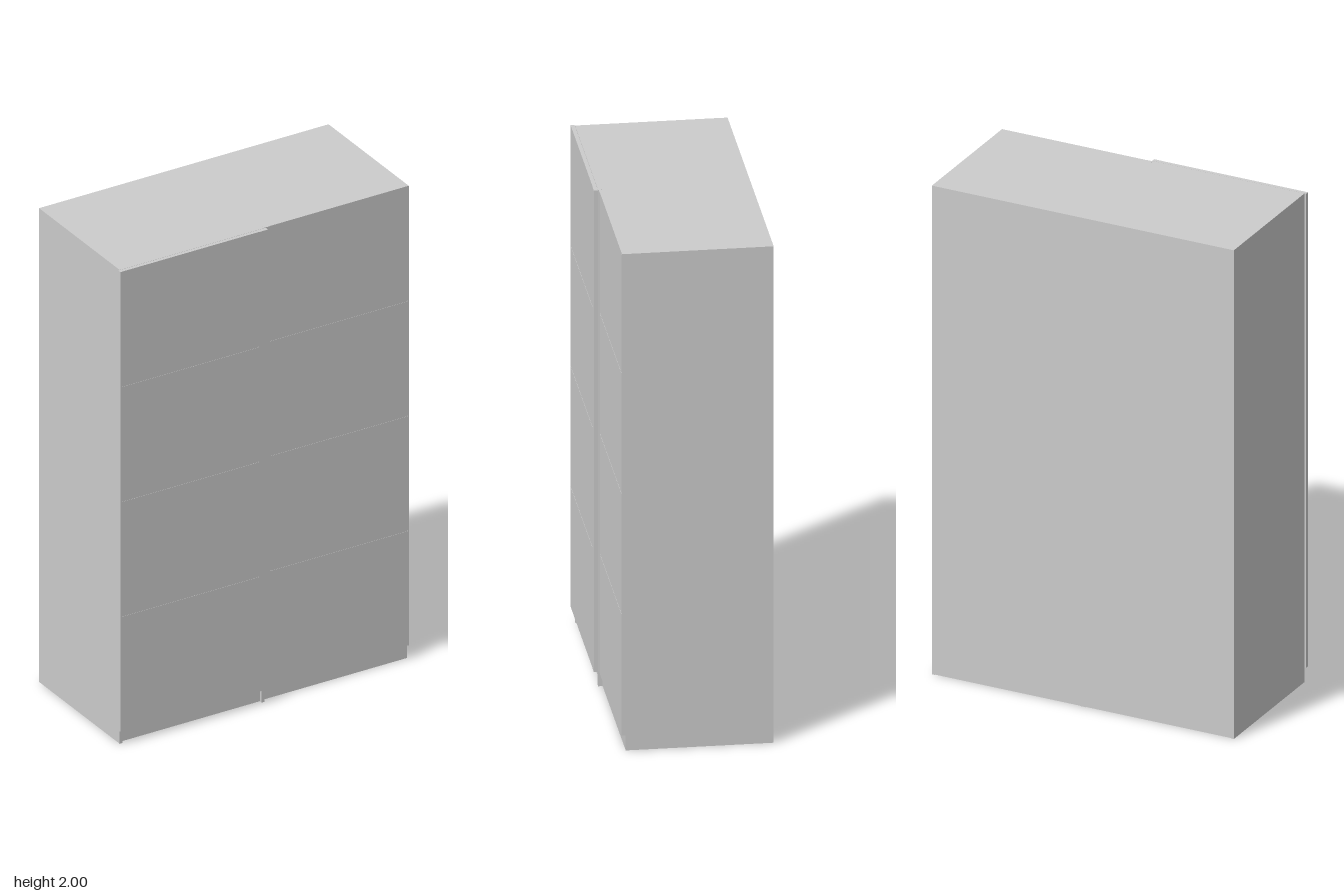
import * as THREE from 'three';

const material = new THREE.MeshStandardMaterial({ color: 0xcccccc });
const BACK = -0.295, TOP = 2, BASE = 0.06, BOARD = 0.0125;

// Box given by its limits on each axis
function board(parent, name, x0, x1, y0, y1, z0, z1) {
  const mesh = new THREE.Mesh(new THREE.BoxGeometry(x1 - x0, y1 - y0, z1 - z0), material);
  mesh.position.set((x0 + x1) / 2, (y0 + y1) / 2, (z0 + z1) / 2);
  mesh.name = name;
  parent.add(mesh);
}

// Cabinet body: sides down to the floor, raised bottom, recessed plinth, inset back
function makeCabinet(name, x0, x1, front, plinthFront) {
  const g = new THREE.Group();
  g.name = name;
  const a = x0 + BOARD, b = x1 - BOARD;
  board(g, 'sidePanelRight', x0, a, 0, TOP, BACK, front);
  board(g, 'sidePanelLeft', b, x1, 0, TOP, BACK, front);
  board(g, 'topPanel', a, b, TOP - BOARD, TOP, BACK, front);
  board(g, 'bottomPanel', a, b, BASE, BASE + BOARD, BACK + 0.008, front);
  board(g, 'backPanel', a, b, 0, TOP - BOARD, BACK + 0.003, BACK + 0.008);
  board(g, 'plinth', a, b, 0, BASE, plinthFront - BOARD, plinthFront);
  return g;
}

// Sliding door: two stiles, four stacked panels and thin rails in the seams
function makeDoor(name, x0, x1, z0, z1, stileRight, stileLeft) {
  const g = new THREE.Group();
  g.name = name;
  const a = x0 + stileRight, b = x1 - stileLeft;
  board(g, 'stileRight', x0, a, BASE, TOP, z0, z1);
  board(g, 'stileLeft', b, x1, BASE, TOP, z0, z1);
  const count = 4, gap = 0.004, step = (TOP - BASE) / count;
  for (let i = 0; i < count; i++) {
    const y0 = BASE + i * step + (i ? gap / 2 : 0);
    const y1 = BASE + (i + 1) * step - (i < count - 1 ? gap / 2 : 0);
    board(g, 'doorPanel', a, b, y0, y1, z0, z1 - 0.001);
    if (i) board(g, 'seamRail', a, b, y0 - gap, y0, z0 + 0.001, z1 - 0.002);
  }
  return g;
}

export function createModel() {
  const model = new THREE.Group();
  model.name = 'wardrobe';
  model.add(
    makeCabinet('rightCabinet', -0.63, 0.0025, 0.278, 0.265),
    makeCabinet('leftCabinet', 0.0025, 0.635, 0.261, 0.261),
    // Outer track door overlaps the inner track door
    makeDoor('rightDoor', -0.637, 0.008, 0.279, 0.295, 0.004, 0.04),
    makeDoor('leftDoor', 0.003, 0.635, 0.261, 0.276, 0.025, 0.004),
  );
  return model;
}
